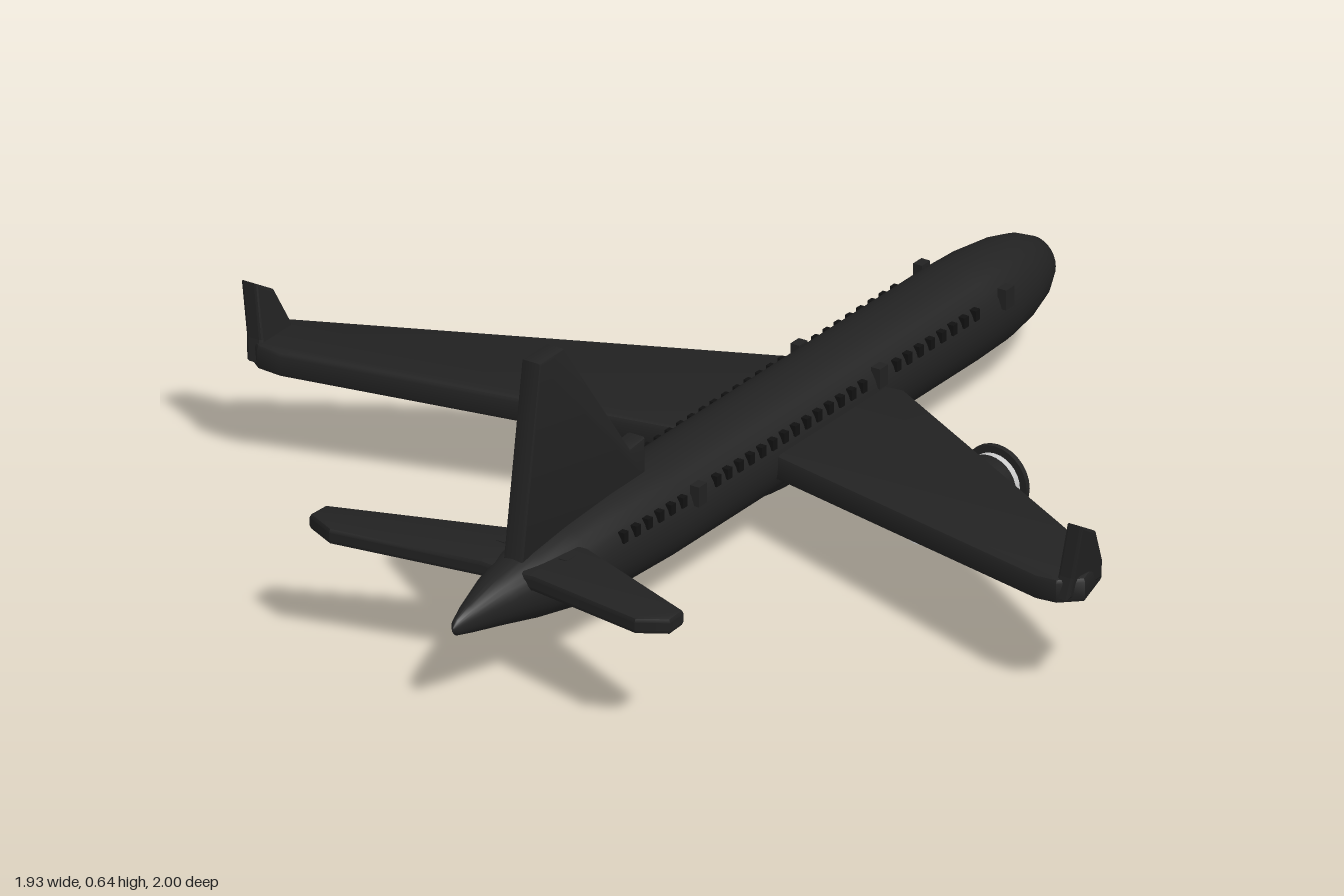
import * as THREE from 'three';
import { mergeVertices, toCreasedNormals } from 'three/addons/utils/BufferGeometryUtils.js';

const mat = (color) => new THREE.MeshStandardMaterial({ color, side: THREE.DoubleSide });
const dark = mat(0x222222), black = mat(0x111111), grey = mat(0xcccccc), red = mat(0xcc3322);

function add(parent, name, geometry, material = dark, x = 0, y = 0, z = 0) {
  const mesh = new THREE.Mesh(geometry, material);
  mesh.name = name;
  mesh.position.set(x, y, z);
  parent.add(mesh);
  return mesh;
}

// Bevelled plate from an outline, centred on its thickness (local z)
function plate(points, thickness, bevel = 0.01) {
  const shape = new THREE.Shape(points.map(([a, b]) => new THREE.Vector2(a, b)));
  const geo = new THREE.ExtrudeGeometry(shape, {
    depth: thickness - 2 * bevel, bevelEnabled: true, bevelThickness: bevel,
    bevelSize: bevel, bevelOffset: -bevel, bevelSegments: 2,
  });
  geo.translate(0, 0, -thickness / 2 + bevel);
  return toCreasedNormals(geo, 0.6);
}

// Horizontal surface: outline in x, z, raised towards the tip
function liftingSurface(points, thickness, side, y0, dihedral) {
  const geo = plate(points.map(([x, z]) => [x * side, z]), thickness);
  geo.rotateX(Math.PI / 2);
  const p = geo.attributes.position;
  for (let i = 0; i < p.count; i++) p.setY(i, p.getY(i) + y0 + dihedral * Math.abs(p.getX(i)));
  return geo;
}

// Body stations: z, half width, bottom y, top y
const STATIONS = [
  [-1, 0.002, 0.178, 0.182], [-0.99, 0.026, 0.153, 0.208], [-0.965, 0.048, 0.13, 0.232],
  [-0.92, 0.07, 0.108, 0.255], [-0.86, 0.086, 0.092, 0.27], [-0.78, 0.097, 0.082, 0.279],
  [-0.68, 0.101, 0.08, 0.282], [0.35, 0.101, 0.08, 0.282], [0.5, 0.098, 0.085, 0.28],
  [0.65, 0.089, 0.097, 0.272], [0.76, 0.073, 0.118, 0.261], [0.86, 0.048, 0.141, 0.244],
  [0.95, 0.023, 0.16, 0.22], [0.99, 0.01, 0.17, 0.204], [1, 0.002, 0.18, 0.19],
];

function fuselageGeometry(sides = 28) {
  const pos = [], idx = [];
  STATIONS.forEach(([z, w, lo, hi], i) => {
    for (let k = 0; k < sides; k++) {
      const a = (k / sides) * Math.PI * 2;
      pos.push(Math.cos(a) * w, (lo + hi) / 2 + Math.sin(a) * (hi - lo) / 2, z);
      if (i === 0) continue;
      const n = (k + 1) % sides, p = (i - 1) * sides, c = i * sides;
      idx.push(p + k, p + n, c + k, p + n, c + n, c + k);
    }
  });
  const geo = new THREE.BufferGeometry();
  geo.setAttribute('position', new THREE.Float32BufferAttribute(pos, 3));
  geo.setIndex(idx);
  const merged = mergeVertices(geo);
  merged.computeVertexNormals();
  return merged;
}

// Half width of the body at a given z and y
function skinX(z, y) {
  const i = Math.max(1, STATIONS.findIndex((s) => s[0] >= z));
  const a = STATIONS[i - 1], b = STATIONS[i], t = (z - a[0]) / (b[0] - a[0]);
  const [w, lo, hi] = [1, 2, 3].map((k) => a[k] + (b[k] - a[k]) * t);
  const v = (y - (lo + hi) / 2) / ((hi - lo) / 2);
  return w * Math.sqrt(Math.max(0, 1 - v * v));
}

// Shape of revolution along z: pairs of radius, z
function turned(profile, sides = 28) {
  const geo = new THREE.LatheGeometry(profile.map(([r, z]) => new THREE.Vector2(r, z)), sides);
  geo.rotateX(Math.PI / 2);
  return toCreasedNormals(geo, 0.6);
}

function createEngine(side) {
  const engine = new THREE.Group();
  engine.name = 'engine';
  engine.position.set(side * 0.355, 0.075, 0);
  add(engine, 'nacelle', turned([[0.05, -0.1], [0.057, -0.1], [0.062, -0.2], [0.06, -0.29], [0.052, -0.29]]));
  add(engine, 'rearPlate', turned([[0.0, -0.102], [0.055, -0.102]]), grey);
  add(engine, 'exhaust', turned([[0.034, -0.11], [0.032, -0.07], [0.027, -0.04], [0, -0.04]]), grey);
  // Intake: stacked rings, fan face and spinner
  add(engine, 'intakeBand', turned([[0.05, -0.29], [0.058, -0.29], [0.058, -0.308], [0.05, -0.308]]), grey);
  add(engine, 'intakeLip', turned([[0.053, -0.306], [0.073, -0.306], [0.073, -0.317], [0.053, -0.317], [0.053, -0.306]]));
  add(engine, 'lipTrim', new THREE.TorusGeometry(0.067, 0.003, 8, 32), grey, 0, 0, -0.317);
  add(engine, 'fanFace', turned([[0, -0.3], [0.054, -0.3]]), grey);
  const spinner = new THREE.ConeGeometry(0.016, 0.032, 6);
  spinner.rotateX(-Math.PI / 2);
  add(engine, 'spinner', spinner, red, 0, 0, -0.315);
  // Pylon up to the wing
  const pylon = plate([[0.26, 0.05], [0.24, 0.085], [0.16, 0.11], [0.04, 0.11], [0.1, 0.05]], 0.026, 0.004);
  pylon.rotateY(Math.PI / 2);
  add(engine, 'pylon', pylon);
  return engine;
}

export function createModel() {
  const model = new THREE.Group();
  model.name = 'airliner';
  add(model, 'fuselage', fuselageGeometry());
  add(model, 'bellyFairing', new THREE.SphereGeometry(1, 24, 16), dark, 0, 0.15, -0.08).scale.set(0.088, 0.083, 0.25);

  // Vertical tail with its forward fillet
  const fin = plate([[-0.38, 0.26], [-0.38, 0.35], [-0.43, 0.345], [-0.655, 0.645],
    [-0.737, 0.645], [-0.8, 0.245]], 0.043, 0.006);
  fin.rotateY(Math.PI / 2);
  add(model, 'tailFin', fin);

  for (const side of [1, -1]) {
    add(model, 'wing', liftingSurface([[0, -0.325], [0.135, -0.325], [0.93, 0.18], [0.96, 0.28],
      [0.915, 0.312], [0.865, 0.31], [0.1, 0.05], [0, 0.05]], 0.053, side, 0.165, 0.08));
    add(model, 'tailplane', liftingSurface([[0, 0.65], [0.08, 0.66], [0.41, 0.825], [0.413, 0.875],
      [0.35, 0.902], [0.06, 0.82], [0, 0.82]], 0.036, side, 0.222, 0.075));

    // Winglet leaning outwards
    const winglet = plate([[-0.195, 0.23], [-0.2, 0.27], [-0.24, 0.35], [-0.295, 0.382],
      [-0.302, 0.27], [-0.31, 0.225]], 0.036, 0.006);
    winglet.rotateY(Math.PI / 2);
    const p = winglet.attributes.position;
    for (let i = 0; i < p.count; i++) p.setX(i, p.getX(i) + side * (0.925 + (p.getY(i) - 0.24) * 0.15));
    winglet.computeVertexNormals();
    add(model, 'winglet', winglet);
    model.add(createEngine(side));

    // Row of cabin windows
    const windows = new THREE.Group();
    windows.name = 'windows';
    for (let i = 0; i < 32; i++) {
      const z = 0.55 - i * 0.038;
      if (Math.abs(z - 0.31) < 0.03 || Math.abs(z + 0.305) < 0.03) continue;
      add(windows, 'window', new THREE.BoxGeometry(0.014, 0.022, 0.015), black, side * (skinX(z, 0.226) + 0.001), 0.226, z);
    }
    model.add(windows);

    // Doors: large at the ends, small over the wing, each a slim raised panel
    for (const [z, proud] of [[-0.725, 0.008], [-0.305, 0.002], [0.315, 0.008], [0.72, 0.003]]) {
      add(model, 'door', new THREE.BoxGeometry(0.02, 0.042, 0.028), dark, side * (skinX(z, 0.226) + proud), 0.226, z);
    }
  }
  return model;
}
